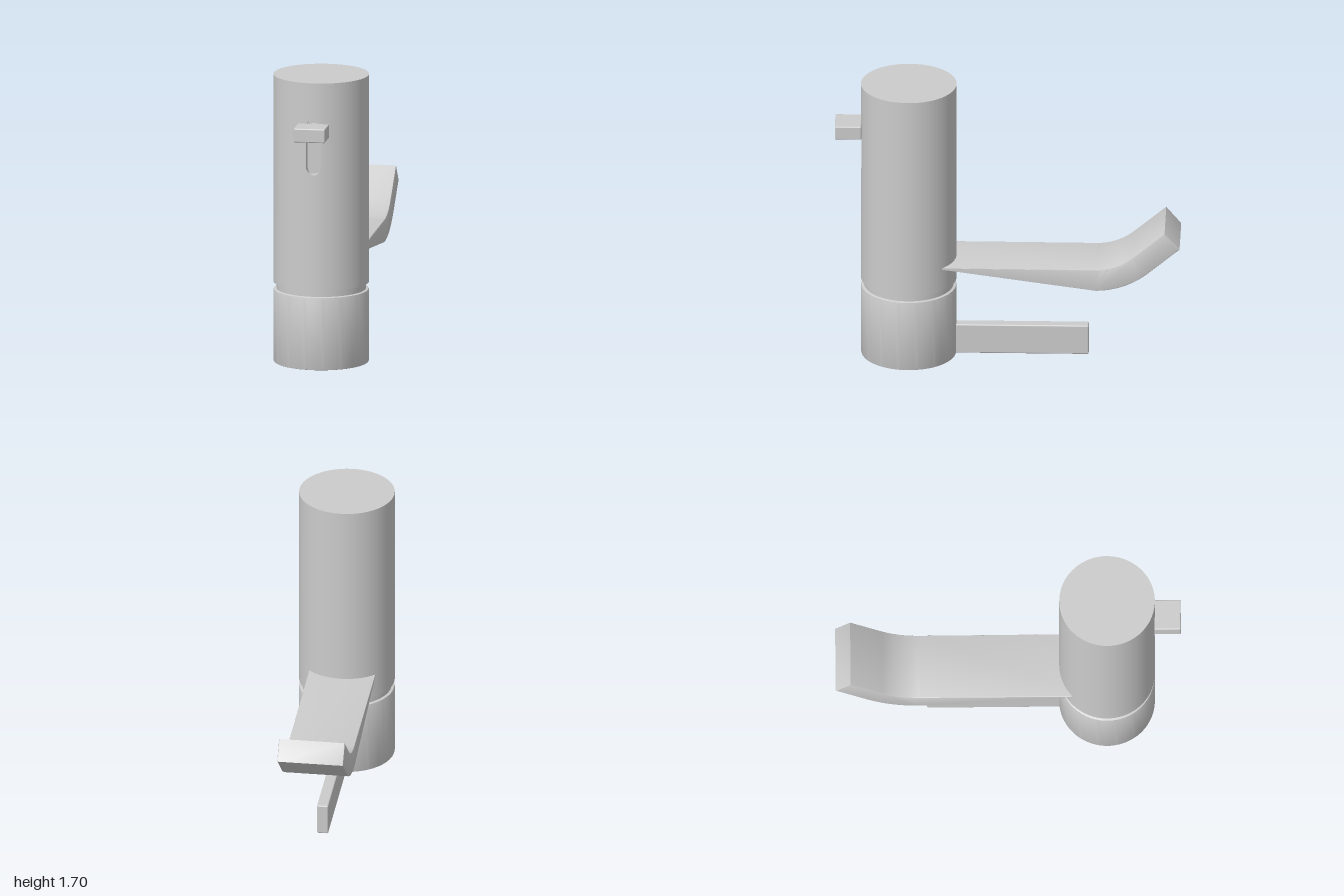
import * as THREE from 'three';
import { toCreasedNormals } from 'three/addons/utils/BufferGeometryUtils.js';
import { RoundedBoxGeometry } from 'three/addons/geometries/RoundedBoxGeometry.js';

const R = 0.277;                      // body radius
const AXIS_Z = 0.573;                 // body axis
const JOINT = 0.472, TOP = 1.7;       // upper body ends
const SLOT = { r: 0.043, low: 1.198, high: 1.442, floor: 0.225 };

const material = new THREE.MeshStandardMaterial({ color: 0xcccccc });

function add(parent, name, geometry, x = 0, y = 0, z = 0) {
  const mesh = new THREE.Mesh(geometry, material);
  mesh.name = name;
  mesh.position.set(x, y, z);
  parent.add(mesh);
  return mesh;
}

// Surface from a rule: fn(i, j) gives the point of column i, row j
function grid(nu, nv, fn) {
  const pos = [], index = [];
  for (let j = 0; j <= nv; j++) for (let i = 0; i <= nu; i++) pos.push(...fn(i, j));
  for (let j = 0; j < nv; j++) for (let i = 0; i < nu; i++) {
    const a = j * (nu + 1) + i, b = a + 1, d = a + nu + 1, c = d + 1;
    index.push(a, b, d, b, c, d);
  }
  const g = new THREE.BufferGeometry();
  g.setAttribute('position', new THREE.Float32BufferAttribute(pos, 3));
  g.setIndex(index);
  g.computeVertexNormals();
  return g;
}

const surfaceZ = (x) => Math.sqrt(R * R - x * x);

// Piece of the cylinder front between two edges that may follow the slot ends
function frontPatch(lower, upper) {
  const n = 24;
  const g = grid(n, 1, (i, j) => {
    const t = (i / n - 0.5) * Math.PI;
    const x = SLOT.r * Math.sin(t);
    return [x, (j ? upper : lower)(Math.cos(t) * SLOT.r), surfaceZ(x)];
  });
  const p = g.attributes.position;
  for (let k = 0; k < p.count; k++) g.attributes.normal.setXYZ(k, p.getX(k) / R, 0, p.getZ(k) / R);
  return g;
}

function makeUpperBody() {
  const body = new THREE.Group();
  body.name = 'upperBody';

  // Cylinder wall, left open for the slot strip at the front
  const a = Math.asin(SLOT.r / R);
  const profile = [new THREE.Vector2(R, JOINT), new THREE.Vector2(R, TOP)];
  add(body, 'bodyWall', new THREE.LatheGeometry(profile, 96, a, Math.PI * 2 - 2 * a));
  add(body, 'wallBelowSlot', frontPatch(() => JOINT, (c) => SLOT.low - c));
  add(body, 'wallAboveSlot', frontPatch((c) => SLOT.high + c, () => TOP));
  add(body, 'bodyTop', new THREE.CircleGeometry(R, 96).rotateX(-Math.PI / 2), 0, TOP);
  add(body, 'bodyUnderside', new THREE.CircleGeometry(R, 96).rotateX(Math.PI / 2), 0, JOINT);

  // Recessed slot with round ends
  const outline = new THREE.Shape();
  outline.absarc(0, SLOT.high, SLOT.r, 0, Math.PI, false);
  outline.absarc(0, SLOT.low, SLOT.r, Math.PI, Math.PI * 2, false);
  outline.closePath();
  const pts = outline.getPoints(16);
  add(body, 'slotWall', grid(pts.length - 1, 1, (i, j) =>
    [pts[i].x, pts[i].y, j ? SLOT.floor : surfaceZ(pts[i].x)]));
  add(body, 'slotFloor', new THREE.ShapeGeometry(outline, 16), 0, 0, SLOT.floor);
  return body;
}

// Flat arm that bends upward at its end, drawn from the side
function armGeometry() {
  const bend = 0.51, bottom = 0.48, top = 0.615, radius = 0.34, tip = 0.242, bevel = 0.006;
  const angle = THREE.MathUtils.degToRad(40), down = -Math.PI / 2;
  const outer = radius + top - bottom, cy = top + radius;
  const tipPoint = (r) => [
    bend + r * Math.sin(angle) + tip * Math.cos(angle),
    cy - r * Math.cos(angle) + tip * Math.sin(angle),
  ];
  const s = new THREE.Shape();
  s.moveTo(-0.45, bottom);
  s.absarc(bend, cy, outer, down, down + angle, false);
  s.lineTo(...tipPoint(outer));
  s.lineTo(...tipPoint(radius));
  s.absarc(bend, cy, radius, down + angle, down, true);
  s.lineTo(-0.45, top);
  s.closePath();
  const width = 0.386;
  const g = new THREE.ExtrudeGeometry(s, {
    depth: width - 2 * bevel, curveSegments: 20,
    bevelThickness: bevel, bevelSize: bevel, bevelOffset: -bevel, bevelSegments: 2,
  });
  g.translate(0, 0, bevel - width / 2).rotateY(Math.PI / 2);
  return toCreasedNormals(g, 0.5);
}

export function createModel() {
  const model = new THREE.Group();
  model.name = 'lever column';

  // Base with softened rims
  const base = [[0, 0], [0.270, 0], [0.275, 0.002], [R, 0.008], [R, 0.422], [0.275, 0.429], [0.268, 0.432], [0, 0.432]]
    .map(([x, y]) => new THREE.Vector2(x, y));
  add(model, 'base', toCreasedNormals(new THREE.LatheGeometry(base, 96), 0.6), 0, 0, AXIS_Z);

  // Narrow neck between base and upper body
  add(model, 'neck', new THREE.CylinderGeometry(0.259, 0.259, 0.05, 96, 1, true), 0, 0.452, AXIS_Z);

  const body = makeUpperBody();
  body.position.z = AXIS_Z;
  model.add(body);

  // Lever on its stem in the slot
  add(model, 'leverStem', new THREE.CylinderGeometry(0.036, 0.036, 0.08, 32).rotateX(Math.PI / 2), 0, 1.42, 0.83);
  add(model, 'lever', new RoundedBoxGeometry(0.184, 0.082, 0.154, 3, 0.007), 0, 1.42, 0.923);

  // Broad bent arm and thin lower bar at the back
  add(model, 'arm', armGeometry());
  add(model, 'lowerBar', new RoundedBoxGeometry(0.066, 0.181, 0.87, 3, 0.008), 0, 0.096, -0.035);

  return model;
}
